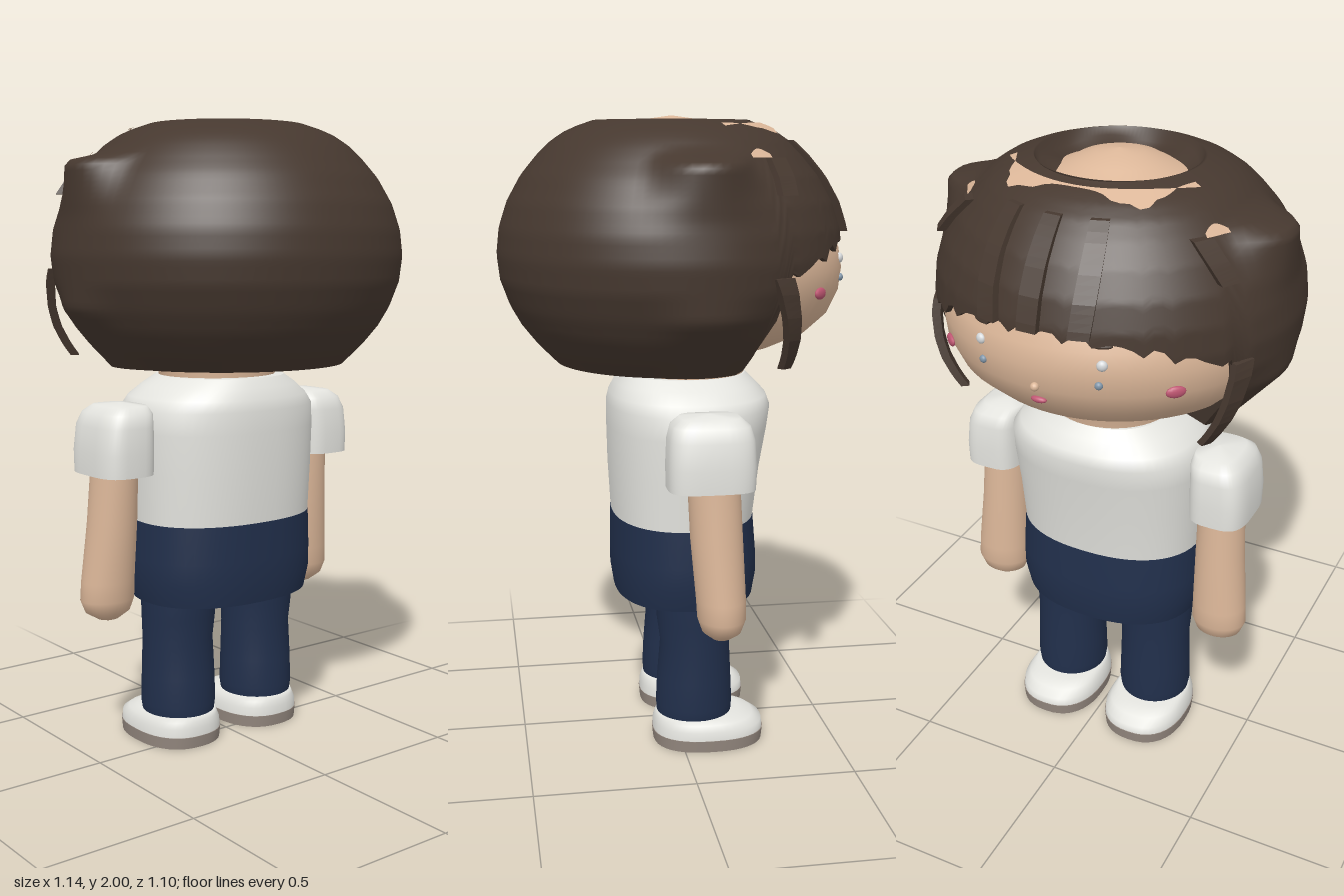
import * as THREE from 'three';

const mat = (name, color, side = THREE.FrontSide) => {
  const m = new THREE.MeshStandardMaterial({ color, side });
  m.name = name;
  return m;
};
const rad = THREE.MathUtils.degToRad;
const lerp = THREE.MathUtils.lerp;

// Smooth surface from a rows x cols grid of points; wrap closes the columns
function grid(rows, cols, wrap, fn) {
  const pos = [], idx = [];
  for (let j = 0; j < rows; j++) for (let i = 0; i < cols; i++) pos.push(...fn(j, i));
  for (let j = 0; j < rows - 1; j++) {
    for (let i = 0; i < (wrap ? cols : cols - 1); i++) {
      const a = j * cols + i, b = j * cols + (i + 1) % cols;
      idx.push(a, a + cols, b, b, a + cols, b + cols);
    }
  }
  const g = new THREE.BufferGeometry();
  g.setAttribute('position', new THREE.Float32BufferAttribute(pos, 3));
  g.setIndex(idx);
  g.computeVertexNormals();
  return g;
}

// Stack of superellipse rings [y, cx, cz, rx, rz]; a repeated ring makes a crisp edge
function loft(rings, power = 2, cols = 40) {
  const p = (v) => Math.sign(v) * Math.abs(v) ** (2 / power);
  return grid(rings.length, cols, true, (j, i) => {
    const [y, cx, cz, rx, rz] = rings[j], t = (i / cols) * Math.PI * 2;
    return [cx + rx * p(Math.cos(t)), y, cz + rz * p(Math.sin(t))];
  });
}

// Piecewise-linear lookup in [y, r] points
function lookup(pts, y) {
  let k = 1;
  while (k < pts.length - 1 && y > pts[k][0]) k++;
  const [y0, r0] = pts[k - 1], [y1, r1] = pts[k];
  return lerp(r0, r1, THREE.MathUtils.clamp((y - y0) / (y1 - y0), 0, 1));
}

const hairProfile = [[1.24, 0.37], [1.3, 0.43], [1.36, 0.478], [1.42, 0.512], [1.5, 0.541], [1.58, 0.55],
  [1.66, 0.541], [1.74, 0.515], [1.82, 0.47], [1.88, 0.42], [1.92, 0.38], [1.95, 0.335], [1.97, 0.29], [1.985, 0.245]];
const sideProfile = [[1.24, 0.4], [1.42, 0.555], [1.58, 0.57], [1.7, 0.555], [1.86, 0.555], [1.89, 0.42],
  [1.94, 0.345], [1.985, 0.25]];

// Hair radius at angle a (0 = face direction, -z) and height y, with a bulge at each side
function hairRadius(a, y) {
  const c = Math.cos(a), s = Math.abs(Math.sin(a));
  const base = lookup(hairProfile, y) * (1 + 0.035 * s * s - 0.03 * Math.max(0, c));
  const w = THREE.MathUtils.smoothstep(1 - Math.abs(Math.acos(c) - rad(87)) / rad(22), 0, 0.9);
  return lerp(base, Math.max(base, lookup(sideProfile, y)), w);
}
const polar = (a, y, r) => [r * Math.sin(a), y, -r * Math.cos(a)];

// Lower hair edge: raised with a ragged fringe over the face
function hairEdge(a) {
  const d = THREE.MathUtils.radToDeg(Math.acos(Math.cos(a)));
  const fringe = lerp(1.645, 1.53, (d / 62) ** 2) + 0.012 * Math.sin(d * 0.55) + 0.008 * Math.sin(d * 1.3);
  return lerp(fringe, 1.24, THREE.MathUtils.smoothstep(d, 60, 67));
}

function hairShell() {
  const cols = 120, body = 44, crater = [[0.245, 1.985], [0.23, 1.955], [0.17, 1.935], [0.1, 1.94]];
  return grid(body + 2 + crater.length, cols, true, (j, i) => {
    const a = (i / cols) * Math.PI * 2, e = hairEdge(a);
    if (j === 0) return polar(a, e + 0.01, hairRadius(a, e) * 0.4);
    if (j === 1) return polar(a, e, hairRadius(a, e));
    if (j < body + 2) {
      const y = lerp(e, 1.985, (j - 2) / (body - 1));
      return polar(a, y, hairRadius(a, y));
    }
    const [r, y] = crater[j - body - 2];
    return polar(a, y + (r < 0.24 ? 0.008 * Math.cos(5 * a) : 0), r);
  });
}

// Flat lock of hair from (a0, y0) down to (a1, y1), lifted off the hair by o0..o1
function strand(a0, y0, a1, y1, half, o0, o1, taper = 0.8) {
  const n = 12;
  return grid(n + 3, 4, true, (j, i) => {
    const t = THREE.MathUtils.clamp((j - 1) / n, 0, 1);
    const shut = j === 0 || j === n + 2 ? 0 : 1;
    const y = lerp(y1, y0, t), a = lerp(a1, a0, t);
    const w = half * lerp(taper, 1, t) * shut, off = lerp(o1, o0, t);
    const da = (i === 0 || i === 3 ? -1 : 1) * w;
    return polar(a + da, y, hairRadius(a, y) + off + (i < 2 ? 0.012 : -0.014) * shut);
  }).toNonIndexed();
}

export function createModel() {
  const group = new THREE.Group();
  const skin = mat('skin', 0xdcb799), hairMat = mat('hair brown', 0x46382f, THREE.DoubleSide);
  const white = mat('white cloth', 0xe4e4df), navy = mat('navy cloth', 0x212f4b);
  const sole = mat('sole grey', 0x94887f), pink = mat('pink', 0xbf5672);
  const pale = mat('pale eye', 0xd5d8da), blue = mat('blue grey eye', 0x8095a8);
  const scalp = mat('bare scalp', 0xdcb799, THREE.DoubleSide);
  const add = (name, geo, material, p) => {
    const m = new THREE.Mesh(geo, material);
    m.name = name;
    if (p) m.position.set(...p);
    group.add(m);
    return m;
  };
  const crisp = (g) => { g.computeVertexNormals(); return g; };

  // Head and neck
  const headPts = [[1.24, 0], [1.25, 0.12], [1.265, 0.22], [1.295, 0.33], [1.34, 0.43], [1.4, 0.495], [1.47, 0.527],
    [1.54, 0.535], [1.6, 0.525], [1.68, 0.49], [1.78, 0.44], [1.86, 0.36], [1.92, 0.25], [1.945, 0.17],
    [1.972, 0.125], [1.99, 0.07], [2, 0]];
  add('head', loft(headPts.map(([y, r]) => [y, 0, 0, r, r]), 2, 64), skin);
  add('neck', loft([[1.15, 0, -0.05, 0.19, 0.18], [1.21, 0, -0.05, 0.195, 0.185], [1.29, 0, -0.06, 0.21, 0.2]]), skin);

  // Hair
  add('hair', hairShell(), hairMat);
  [[-14, -20], [2, 2], [18, 22]].forEach(([top, low]) => {
    const a1 = rad(low) * 0.72;
    add('fringeLock', crisp(strand(rad(top) * 1.3, 1.925, a1, 1.65, 0.07, 0.005, 0.012)), hairMat);
  });
  // Bare scalp patch between two height limits
  const patch = (a0, a1, low, high) => grid(2, 33, false, (j, i) => {
    const t = i / 32, a = lerp(a0, a1, t), y = j ? high(t) : low(t);
    return polar(a, y, hairRadius(a, y) + 0.014);
  });
  add('scalpCrescent', patch(rad(-70), rad(70),
    (t) => 1.974 - 0.026 * Math.sin(Math.PI * 2 * Math.abs(t - 0.5)) ** 4 * (1 + 0.2 * Math.sin(t * 60)),
    (t) => 1.977 - 0.012 * Math.abs(2 * t - 1) ** 4), scalp);

  for (const s of [1, -1]) {
    add('templeLock', crisp(strand(s * rad(56), 1.875, s * rad(60), 1.77, 0.07, 0.012, 0.022)), hairMat);
    add('sideLock', crisp(strand(s * rad(64), 1.54, s * rad(56), 1.265, 0.06, 0.0, 0.09, 0.55)), hairMat);
    add('scalpPatch', patch(s * rad(58), s * rad(68), () => 1.875, (t) => 1.885 + 0.015 * Math.sin(Math.PI * t)), scalp);

    // Face details
    const dot = (name, deg, y, r, size, m) => {
      const d = add(name, new THREE.SphereGeometry(1, 16, 10), m, polar(s * rad(deg), y, r));
      d.scale.set(...size);
      d.rotation.y = -s * rad(deg);
    };
    dot('eyeHighlight', 21, 1.57, 0.53, [0.016, 0.016, 0.012], pale);
    dot('eyeGlint', 20, 1.51, 0.533, [0.012, 0.012, 0.01], blue);
    dot('cheek', 43, 1.48, 0.532, [0.03, 0.018, 0.01], pink);
    dot('eyebrow', 21, 1.625, 0.522, [0.03, 0.008, 0.01], hairMat);

    // Arm and sleeve
    add('arm', loft([[0.425, s * 0.405, -0.09, 0, 0], [0.435, s * 0.405, -0.09, 0.035, 0.03],
      [0.46, s * 0.407, -0.09, 0.075, 0.06], [0.5, s * 0.408, -0.09, 0.09, 0.074], [0.56, s * 0.406, -0.088, 0.088, 0.076],
      [0.75, s * 0.396, -0.075, 0.079, 0.08], [0.95, s * 0.39, -0.065, 0.072, 0.08]]), skin);
    const cuff = [0.91, s * 0.4, -0.055, 0.095, 0.132];
    add('sleeve', loft([[0.92, s * 0.4, -0.055, 0, 0], cuff, cuff, [0.98, s * 0.4, -0.055, 0.096, 0.134],
      [1.06, s * 0.395, -0.055, 0.092, 0.13], [1.1, s * 0.385, -0.055, 0.084, 0.118], [1.122, s * 0.375, -0.055, 0.066, 0.09],
      [1.13, s * 0.37, -0.055, 0, 0]], 3.4), white);

    // Leg and shoe
    const x = s * 0.163;
    const hem = [0.1, x, -0.048, 0.117, 0.122];
    add('leg', loft([[0.1, x, -0.048, 0, 0], hem, hem, [0.13, x, -0.048, 0.122, 0.124], [0.22, x, -0.048, 0.12, 0.12],
      [0.34, x, -0.05, 0.117, 0.112], [0.42, x, -0.045, 0.122, 0.118], [0.52, x, -0.045, 0.125, 0.12]]), navy);
    const tread = [0, x, -0.093, 0.138, 0.178], welt = [0.038, x, -0.093, 0.141, 0.182];
    add('sole', loft([[0, x, -0.093, 0, 0], tread, tread, welt, welt, [0.038, x, -0.093, 0, 0]], 2.4), sole);
    const upper = loft([[0.036, x, -0.093, 0.139, 0.18], [0.065, x, -0.092, 0.137, 0.178], [0.085, x, -0.08, 0.126, 0.16],
      [0.1, x, -0.06, 0.115, 0.132], [0.104, x, -0.05, 0, 0]], 2.4);
    add('shoe', upper, white);
  }

  // Nose and mouth
  add('nose', new THREE.SphereGeometry(0.013, 14, 10), skin, [0, 1.48, -0.533]);
  const mouth = add('mouth', new THREE.SphereGeometry(1, 16, 10), pink, [0, 1.43, -0.512]);
  mouth.scale.set(0.025, 0.01, 0.012);

  // Shirt, with sloped shoulders
  const collar = [1.2, 0, -0.035, 0.2, 0.2];
  add('shirt', loft([[0.74, 0, -0.03, 0.308, 0.228], [0.9, 0, -0.035, 0.316, 0.242], [1.03, 0, -0.045, 0.324, 0.255],
    [1.1, 0, -0.05, 0.322, 0.26], [1.135, 0, -0.048, 0.295, 0.25], [1.17, 0, -0.04, 0.25, 0.225],
    collar, collar, [1.2, 0, -0.035, 0, 0]], 2.3, 56), white);

  // Shorts
  const hem = [0.48, 0, -0.035, 0.298, 0.225], waist = [0.742, 0, -0.03, 0.309, 0.229];
  add('shorts', loft([[0.5, 0, -0.035, 0, 0], [0.5, 0, -0.035, 0.28, 0.21], hem, hem, [0.55, 0, -0.035, 0.314, 0.236],
    [0.62, 0, -0.034, 0.315, 0.235], waist, waist, [0.742, 0, -0.03, 0, 0]], 2.3, 56), navy);

  return group;
}
